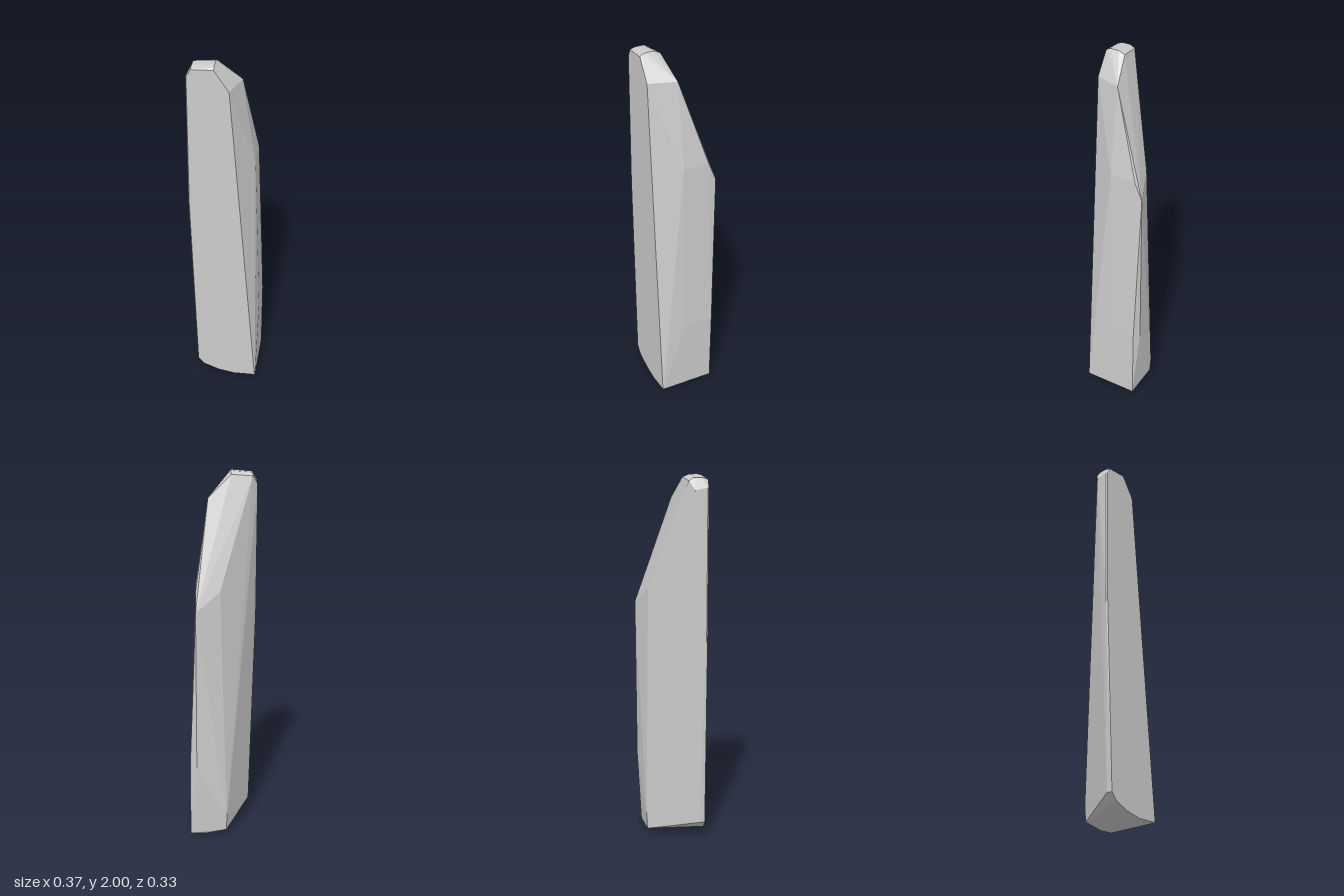
import * as THREE from 'three';
import { ConvexGeometry } from 'three/addons/geometries/ConvexGeometry.js';

// Faceted, wedge-shaped upright slab: a convex body spanned by its corner points
export function createModel() {
  const points = [];
  const add = (...list) => list.forEach(([x, y, z]) => points.push(new THREE.Vector3(x, y, z)));

  // Flat front face outline
  const front = [
    [-0.148, 0.1], [-0.115, 0.06], [-0.03, 0.025], [0.06, 0.008], [0.18, 0.012],
    [0.03, 1.87], [-0.045, 1.985], [-0.158, 1.98], [-0.18, 1.94], [-0.18, 1.2],
  ];
  front.forEach(([x, y]) => add([x, y, 0.167]));

  // Rounded cap along the top
  [[1.995, 0.155], [2.0, 0.135], [2.0, 0.09], [1.985, 0.055]].forEach(([y, z]) => {
    add([-0.045, y, z], [-0.158, y - 0.01, z + (z < 0.06 ? 0.012 : 0)]);
  });

  // Thin left edge
  add([-0.185, 1.94, 0.16], [-0.185, 1.93, 0.095]);
  add([-0.185, 1.2, 0.16], [-0.15, 0.1, 0.135]);

  // Sloping shoulder and back ridge
  add([0.078, 1.87, 0.02], [0.147, 1.4, 0.02], [0.147, 1.4, -0.125]);
  add([0.147, 1.3, -0.168], [0.147, 0.42, -0.162], [0.018, 1.4, -0.117]);

  // Broad lower right side
  add([0.183, 0.42, -0.14], [0.183, 0.42, 0.03]);
  add([0.183, 0.012, 0.163], [0.183, 0.012, -0.135]);

  // Back lower corner and curved underside
  add([-0.018, 0.11, -0.137], [-0.016, 0.03, -0.132]);
  add([0.08, 0, 0.15], [0.09, 0.005, -0.125]);

  const material = new THREE.MeshStandardMaterial({ color: 0xcccccc, flatShading: true });
  const body = new THREE.Mesh(new ConvexGeometry(points), material);
  body.name = 'facetedSlab';

  const group = new THREE.Group();
  group.name = 'slab';
  group.add(body);
  return group;
}
